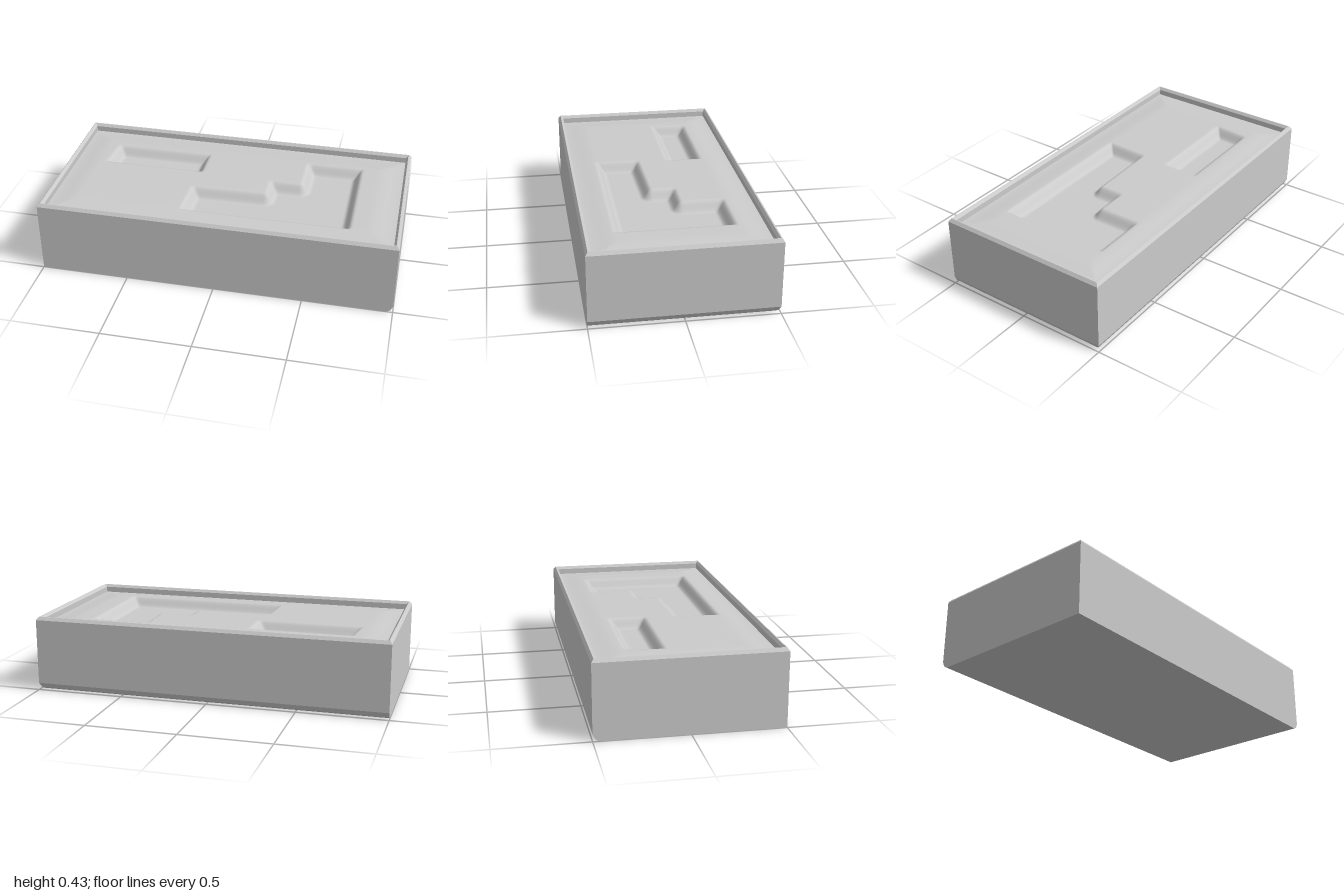
import * as THREE from 'three';

// Outlines (x, z) of the two sunken areas of the top panel
const PITS = [
  [[-0.77, -0.305], [-0.19, -0.305], [-0.19, -0.09], [-0.79, -0.09]],
  [[-0.22, 0.07], [0.21, 0.06], [0.21, -0.08], [0.395, -0.08],
    [0.395, -0.32], [0.73, -0.32], [0.73, 0.33], [-0.23, 0.33]],
];
const PIT_DEPTH = 0.055, WALL = 0.055;

// Distance from a point to the outline, zero when outside
function depthInside(x, z, pts) {
  let inside = false, best = Infinity;
  pts.forEach(([ax, az], i) => {
    const [bx, bz] = pts[(i + 1) % pts.length];
    const dx = bx - ax, dz = bz - az;
    const t = THREE.MathUtils.clamp(((x - ax) * dx + (z - az) * dz) / (dx * dx + dz * dz), 0, 1);
    best = Math.min(best, Math.hypot(x - ax - t * dx, z - az - t * dz));
    if ((az > z) !== (bz > z) && x < ax + (dx * (z - az)) / dz) inside = !inside;
  });
  return inside ? best : 0;
}

// Height of the panel: nearly flat, falling off softly at the border
function panelHeight(x, z) {
  const border = Math.min(0.97 - Math.abs(x), 0.47 - Math.abs(z));
  let y = 0.38 + 0.012 * THREE.MathUtils.smoothstep(border, 0, 0.15);
  for (const pit of PITS) y -= PIT_DEPTH * THREE.MathUtils.smoothstep(depthInside(x, z, pit), 0, WALL);
  return y;
}

function panelGeometry() {
  const geo = new THREE.PlaneGeometry(1.95, 0.95, 195, 95).rotateX(-Math.PI / 2);
  const pos = geo.attributes.position;
  for (let i = 0; i < pos.count; i++) pos.setY(i, panelHeight(pos.getX(i), pos.getZ(i)));
  geo.computeVertexNormals();
  return geo;
}

// Rectangular loops skinned in order; each is [y, inset of front and left, inset of back and right]
function skinLoops(loops, closeBottom) {
  const v = [];
  const rings = loops.map(([y, a, b]) => [
    [-1 + a, y, 0.5 - a], [1 - b, y, 0.5 - a], [1 - b, y, -0.5 + b], [-1 + a, y, -0.5 + b],
  ]);
  const quad = (p, q, r, s) => v.push(...p, ...q, ...r, ...p, ...r, ...s);
  for (let i = 0; i + 1 < rings.length; i++) {
    for (let k = 0; k < 4; k++) {
      const n = (k + 1) % 4;
      quad(rings[i][k], rings[i][n], rings[i + 1][n], rings[i + 1][k]);
    }
  }
  if (closeBottom) quad(rings[0][3], rings[0][2], rings[0][1], rings[0][0]);
  const geo = new THREE.BufferGeometry();
  geo.setAttribute('position', new THREE.Float32BufferAttribute(v, 3));
  geo.computeVertexNormals();
  return geo;
}

export function createModel() {
  const group = new THREE.Group();
  const material = new THREE.MeshStandardMaterial({ color: 0xcccccc });
  const add = (name, geometry) => {
    const mesh = new THREE.Mesh(geometry, material);
    mesh.name = name;
    group.add(mesh);
  };

  // Block, bevelled below on two sides only
  add('block', skinLoops([
    [0, 0, 0.04], [0.005, 0, 0.025], [0.014, 0, 0.013], [0.04, 0, 0], [0.409, 0, 0],
  ], true));

  // Raised rim, chamfered outside and inside
  add('rim', skinLoops([
    [0.409, 0, 0], [0.427, 0.013, 0.013], [0.427, 0.018, 0.018], [0.412, 0.03, 0.03], [0.37, 0.03, 0.03],
  ], false));

  // Sunken top panel
  add('topPanel', panelGeometry());
  return group;
}
